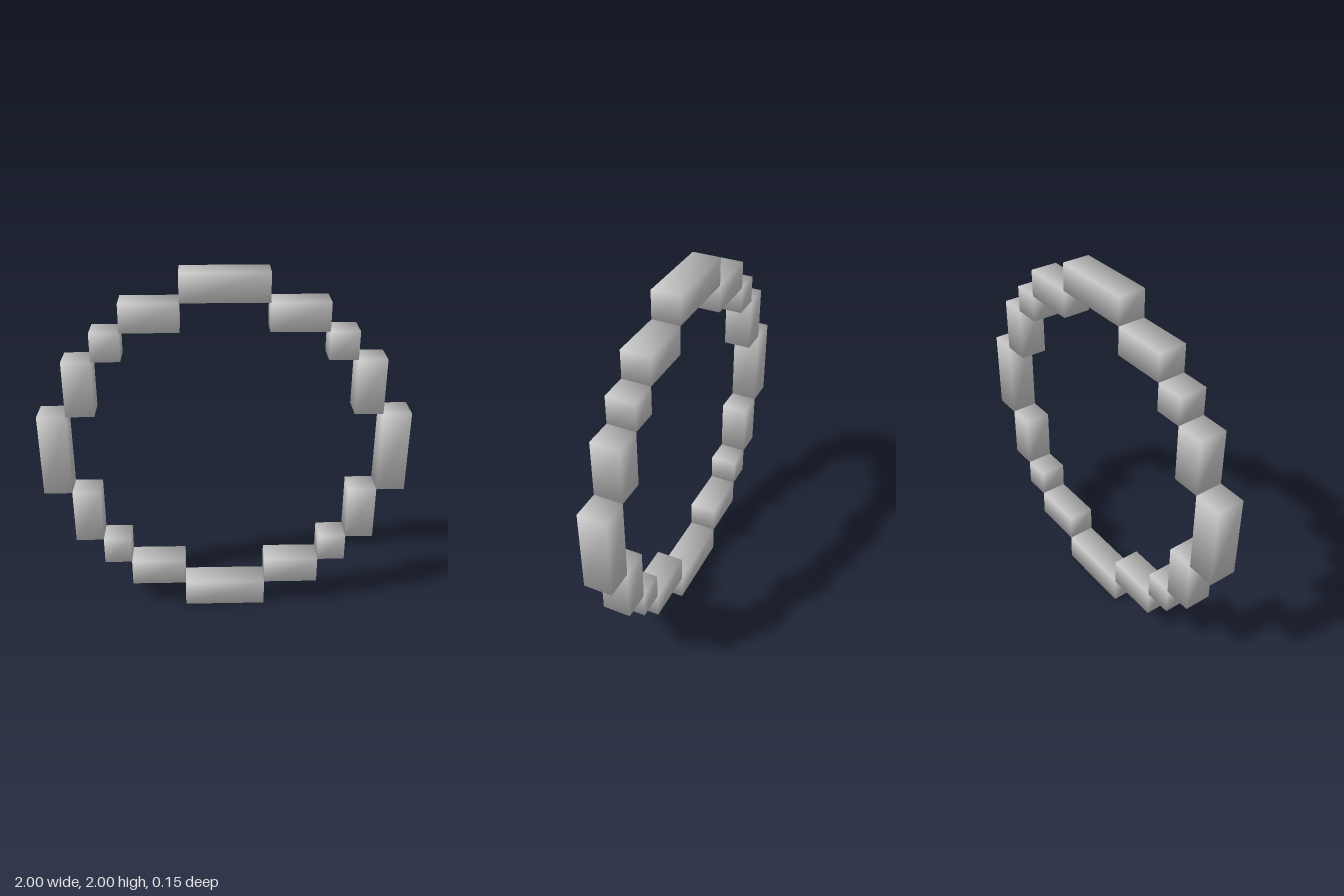
import * as THREE from 'three';
import { mergeVertices } from 'three/addons/utils/BufferGeometryUtils.js';

const U = 2 / 13; // one block: the ring is 13 blocks across

// Box with normals shared at its corners, giving soft shading over hard edges
function softBox(w, h) {
  const box = new THREE.BoxGeometry(w * U, h * U, U);
  box.deleteAttribute('normal');
  box.deleteAttribute('uv');
  const geometry = mergeVertices(box);
  const p = geometry.attributes.position;
  const normals = [];
  for (let i = 0; i < p.count; i++) {
    const n = new THREE.Vector3(Math.sign(p.getX(i)), Math.sign(p.getY(i)), Math.sign(p.getZ(i)));
    normals.push(...n.normalize().toArray());
  }
  geometry.setAttribute('normal', new THREE.Float32BufferAttribute(normals, 3));
  return geometry;
}

export function createModel() {
  const ring = new THREE.Group();
  ring.name = 'blockRing';
  const material = new THREE.MeshStandardMaterial({ color: 0xcccccc });

  // Position and size in blocks, measured from the ring's centre
  const add = (name, x, y, w, h) => {
    const mesh = new THREE.Mesh(softBox(w, h), material);
    mesh.name = name;
    mesh.position.set(x * U, 1 + y * U, 0);
    ring.add(mesh);
  };

  for (const s of [1, -1]) {
    // Long bars at top, bottom and both sides
    add(s > 0 ? 'topBar' : 'bottomBar', 0, 6 * s, 3, 1);
    add(s > 0 ? 'leftBar' : 'rightBar', 6 * s, 0, 1, 3);

    // Stepped diagonals in the four quarters
    for (const t of [1, -1]) {
      const quarter = (t > 0 ? 'upper' : 'lower') + (s > 0 ? 'Left' : 'Right');
      add(quarter + 'FlatStep', 2.5 * s, 5 * t, 2, 1);
      add(quarter + 'CornerBlock', 4 * s, 4 * t, 1, 1);
      add(quarter + 'UprightStep', 5 * s, 2.5 * t, 1, 2);
    }
  }
  return ring;
}
